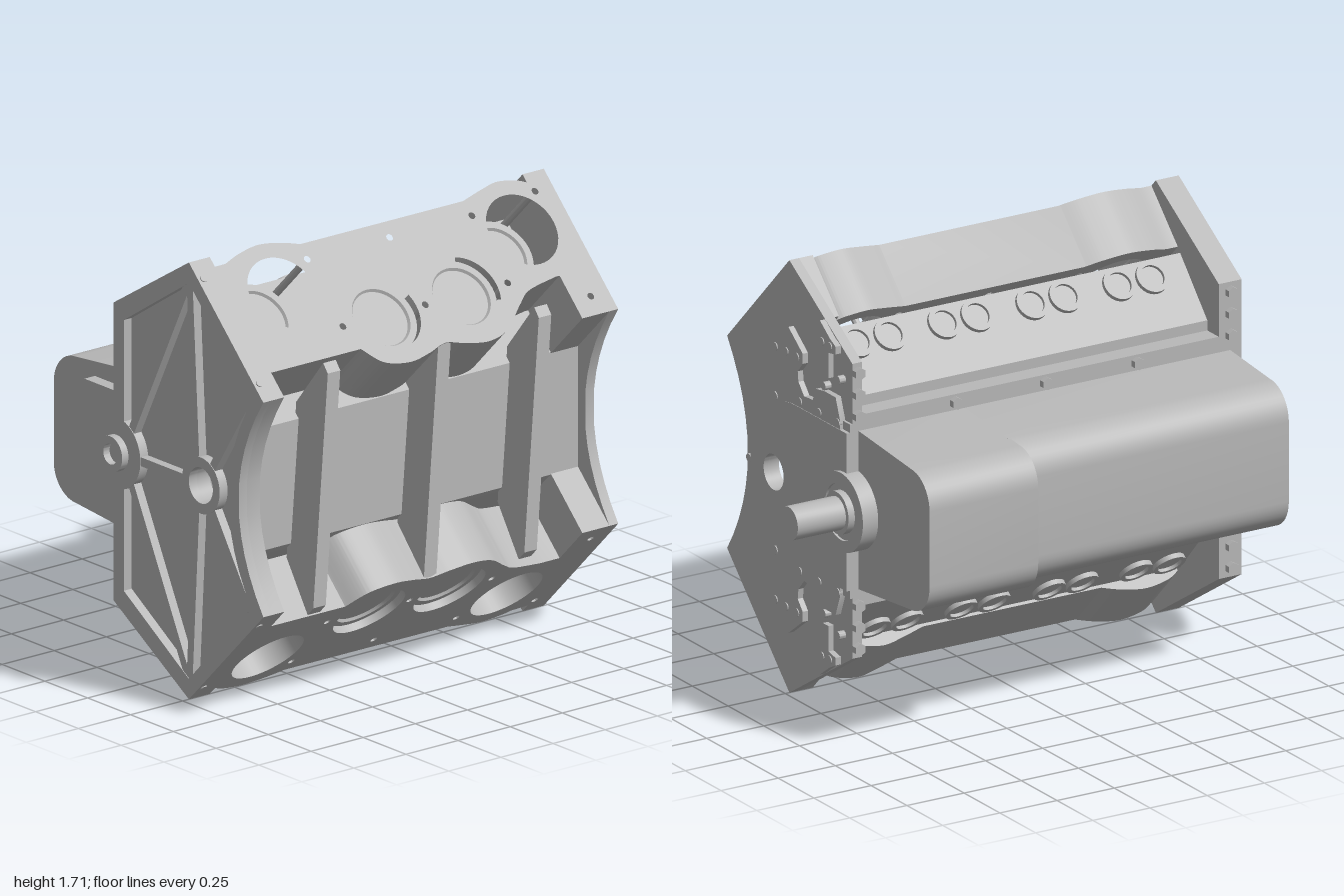
import * as THREE from 'three';
import { toCreasedNormals } from 'three/addons/utils/BufferGeometryUtils.js';

const C = 0.855;                 // height of the crank axis
const CRANK_Z = -0.173, CAM_Z = 0.32;
const S = Math.SQRT1_2;

export function createModel() {
  const root = new THREE.Group();
  root.name = 'engineBlock';
  const castGrey = new THREE.MeshStandardMaterial({ color: 0xb8b8b8 });
  castGrey.name = 'castGrey';

  const add = (name, geo, parent = root) => {
    const m = new THREE.Mesh(toCreasedNormals(geo, 0.5), castGrey);
    m.name = name;
    parent.add(m);
    return m;
  };
  // section points are [z, height above the crank axis]
  const section = pts => new THREE.Shape(pts.map(([z, v]) => new THREE.Vector2(-z, C + v)));
  const mirrored = half => half.concat(half.slice().reverse().map(([z, v]) => [z, -v]));
  const circle = (x, y, r) => new THREE.Path().absarc(x, y, r, 0, Math.PI * 2, true);
  const alongX = (shape, x0, x1) => {
    const g = new THREE.ExtrudeGeometry(shape, { depth: x1 - x0, bevelEnabled: false, curveSegments: 24 });
    return g.rotateY(Math.PI / 2).translate(x0, 0, 0);
  };
  const camHole = shape => { shape.holes.push(circle(-CAM_Z, C, 0.07)); return shape; };
  const rod = (name, r, x0, x1, z, v) => add(name,
    new THREE.CylinderGeometry(r, r, x1 - x0, 32).rotateZ(Math.PI / 2).translate((x0 + x1) / 2, C + v, z));
  const ring = (name, ro, ri, x0, x1, z) => {
    const s = new THREE.Shape().absarc(-z, C, ro, 0, Math.PI * 2);
    s.holes.push(circle(-z, C, ri));
    return add(name, alongX(s, x0, x1));
  };

  // crankcase with the cam tunnel
  add('crankcase', alongX(camHole(section(mirrored([
    [0.5, 0.24], [0.425, 0.31], [0.08, 0.622], [-0.11, 0.415], [-0.11, 0.375], [-0.19, 0.375],
  ]))), -0.87, 0.69));

  // end walls, scooped on the valley side
  const endOutline = inset => {
    const pts = inset ? [[-0.13, 0.53], [0.25, 0.775], [0.6, 0.42]] : [[-0.19, 0.583], [0.25, 0.855], [0.685, 0.42]];
    for (let v = 0.35; v > 0; v -= 0.07) pts.push([0.54 - inset + 0.145 * (v / 0.42) ** 2, v]);
    return mirrored(pts);
  };
  add('frontWall', alongX(camHole(section(endOutline(0))), 0.69, 0.732));
  add('rearWall', alongX(camHole(section(endOutline(0))), -0.932, -0.87));
  const frame = section(endOutline(0));
  frame.holes.push(section(endOutline(0.06)));
  add('rearFrame', alongX(frame, -0.97, -0.932));

  // rear bosses and stiffening ribs
  ring('camBoss', 0.11, 0.07, -0.97, -0.93, CAM_Z);
  ring('crankBoss', 0.14, 0.06, -0.97, -0.93, CRANK_Z);
  ring('crankRearFlange', 0.07, 0.04, -1.0, -0.9, CRANK_Z);
  const bar = (z1, v1, z2, v2) => {
    const g = new THREE.BoxGeometry(0.035, 0.035, Math.hypot(z2 - z1, v2 - v1));
    g.rotateX(-Math.atan2(v2 - v1, z2 - z1));
    add('rearRib', g.translate(-0.95, C + (v1 + v2) / 2, (z1 + z2) / 2));
  };
  for (const s of [1, -1]) {
    bar(CAM_Z + 0.06, s * 0.08, 0.6, s * 0.42);
    bar(CAM_Z - 0.03, s * 0.1, 0.25, s * 0.8);
    bar(CRANK_Z + 0.08, s * 0.1, 0.25, s * 0.79);
  }
  bar(CRANK_Z + 0.13, 0, CAM_Z - 0.1, 0);
  add('rearSealHousing', new THREE.BoxGeometry(0.05, 0.48, 0.17).translate(-0.945, C, -0.275));

  // cylinder banks, built flat and tilted 45 degrees
  for (const s of [1, -1]) {
    const d = s > 0 ? 0 : -0.075;
    const bank = new THREE.Group();
    bank.name = s > 0 ? 'upperBank' : 'lowerBank';
    bank.position.set(0, C + s * 0.6375, 0.4675);
    bank.rotation.x = -s * Math.PI / 4;
    root.add(bank);

    const P = (x, t) => new THREE.Vector2(x, s * t);
    const spline = list => shape.splineThru(list.map(([x, t]) => P(x + d, t)));
    const line = list => list.forEach(([x, t]) => shape.lineTo(x, s * t));
    const shape = new THREE.Shape();
    shape.moveTo(-0.93, s * 0.3075);
    line([[-0.87, 0.3075], [-0.87, 0.265], [Math.max(-0.82 + d, -0.868), 0.265]]);
    spline([[-0.74, 0.29], [-0.64, 0.305], [-0.54, 0.29], [-0.46, 0.265]]);
    line([[0.32 + d, 0.265]]);
    spline([[0.42, 0.29], [0.505, 0.305], [0.59, 0.29], [0.63, 0.272]]);
    line([[0.63, 0.265], [0.63, 0.3075], [0.73, 0.3075], [0.73, -0.3075], [0.56, -0.3075], [0.56, -0.12], [0.54 + d, -0.12]]);
    spline([[0.4, -0.145], [0.33, -0.19], [0.22, -0.275], [0.12, -0.3], [0.02, -0.285], [-0.07, -0.262],
      [-0.16, -0.285], [-0.26, -0.3], [-0.37, -0.275], [-0.44, -0.2]]);
    line([[-0.87, -0.2], [-0.87, -0.3075], [-0.93, -0.3075]]);

    const bores = [[-0.64, 0.095, 0.2], [-0.26, -0.088, 0.03], [0.125, -0.088, 0.03], [0.505, 0.095, 0.2]];
    for (const [x, t] of bores) shape.holes.push(circle(x + d, s * t, 0.15));
    for (const x of [-0.465, -0.07, 0.325])
      for (const t of [0.2, -0.095]) shape.holes.push(circle(x + d, s * t, 0.014));
    for (const t of [0.23, -0.23]) {
      shape.holes.push(circle(0.645, s * t, 0.014));
      add('deckDowel', new THREE.CylinderGeometry(0.014, 0.014, 0.008, 16).rotateX(Math.PI / 2).translate(-0.945, s * t, 0), bank);
    }
    add('bankCasting', new THREE.ExtrudeGeometry(shape, { depth: 0.26, bevelEnabled: false, curveSegments: 20 })
      .translate(0, 0, -0.26), bank);

    // pistons with a dished crown
    for (const [x, t, depth] of bores) {
      const crown = [[0.149, -0.05], [0.149, 0], [0.122, 0], [0.115, -0.01], [0, -0.01]].map(p => new THREE.Vector2(...p));
      add('piston', new THREE.LatheGeometry(crown, 40).rotateX(Math.PI / 2).translate(x + d, s * t, -depth), bank);
    }

    // core plugs on the outer side of the bank
    const cup = [[0.065, -0.02], [0.065, 0.016], [0.047, 0.016], [0.047, 0.003], [0, 0.003]].map(p => new THREE.Vector2(...p));
    for (const [x] of bores) for (const o of [-0.072, 0.072]) {
      const m = add('corePlug', new THREE.LatheGeometry(cup, 28));
      m.position.set(x + d + o, C + s * 0.568, 0.03);
      m.quaternion.setFromUnitVectors(new THREE.Vector3(0, 1, 0), new THREE.Vector3(0, s * S, -S));
    }

    // pan rail bolts
    const bolt = (x, v) => add('railBolt',
      new THREE.CylinderGeometry(0.024, 0.024, 0.03, 6).rotateX(Math.PI / 2).translate(x, C + s * v, -0.2));
    for (const x of [-0.51, -0.11, 0.285]) bolt(x, 0.345);
    for (const x of [-0.92, 0.71]) for (const v of [0.375, 0.46, 0.545]) bolt(x, v);

    // accessory pads on the front wall
    const pad = pts => add('accessoryPad', alongX(section(pts.map(([z, v]) => [z, s * v])), 0.73, 0.755));
    pad([[0.3, 0.25], [0.31, 0.35], [0.35, 0.42], [0.35, 0.52], [0.32, 0.55], [0.22, 0.605], [0.12, 0.53], [0.12, 0.49],
      [0.155, 0.45], [0.15, 0.41], [0.11, 0.365], [0.05, 0.37], [0.03, 0.42], [-0.03, 0.43], [-0.11, 0.43], [-0.14, 0.35], [-0.14, 0.3]]);
    pad([[0, 0.7], [0.045, 0.63], [0.04, 0.59], [0, 0.54], [-0.02, 0.49], [-0.06, 0.49], [-0.06, 0.59],
      [-0.11, 0.6], [-0.11, 0.63], [-0.07, 0.65]]);
    for (const [z, v] of [[0.31, 0.5], [0.235, 0.505], [0.16, 0.505], [0.31, 0.305], [0.14, 0.335],
      [0.005, 0.335], [-0.125, 0.335], [-0.03, 0.45], [-0.13, 0.505], [-0.015, 0.622], [-0.07, 0.62]])
      rod('padBolt', 0.016, 0.73, 0.759, z, s * v);
  }

  // valley cross ribs, skewed to follow the bank offset
  for (const x of [-0.637, -0.107, 0.375]) {
    const g = alongX(section(mirrored([[0.48, 0.3], [0.62, 0.485], [0.65, 0.452]])), x - 0.03, x + 0.03);
    const p = g.attributes.position;
    for (let i = 0; i < p.count; i++) p.setX(i, p.getX(i) + 0.077 * (p.getY(i) - C));
    add('valleyRib', g);
  }

  // timing cover with its flange
  const cover = r => {
    const pts = [[-0.19, r]];
    for (let i = 0; i <= 24; i++) {
      const a = Math.PI / 2 - i * Math.PI / 24;
      pts.push([0.17 + r * Math.cos(a), r * Math.sin(a)]);
    }
    pts.push([-0.19, -r]);
    return camHole(section(pts));
  };
  add('coverFlange', alongX(cover(0.345), 0.73, 0.742));
  add('timingCover', alongX(cover(0.312), 0.73, 0.757));
  rod('coverBolt', 0.016, 0.73, 0.755, 0.5, 0);

  // oil pan: shallow body and deep sump
  const pan = (bottom, x0, x1, name) => {
    const pts = [[-0.15, 0.313], [-0.19, 0.313]];
    const k = bottom + 0.13, w = 0.313 - 0.095 * (-0.19 - k);
    for (let i = 0; i <= 10; i++) {
      const a = i * Math.PI / 20;
      pts.push([k - 0.13 * Math.sin(a), w - 0.13 + 0.13 * Math.cos(a)]);
    }
    add(name, alongX(section(mirrored(pts)), x0, x1));
  };
  pan(-0.6, -0.92, 0.24, 'oilPan');
  pan(-0.687, 0.23, 0.705, 'oilSump');

  // crankshaft nose
  ring('crankSeal', 0.155, 0.11, 0.69, 0.772, CRANK_Z);
  rod('crankCollar', 0.11, 0.69, 0.762, CRANK_Z, 0);
  rod('crankHub', 0.083, 0.7, 0.79, CRANK_Z, 0);
  rod('crankNose', 0.065, 0.75, 1.0, CRANK_Z, 0);

  return root;
}
